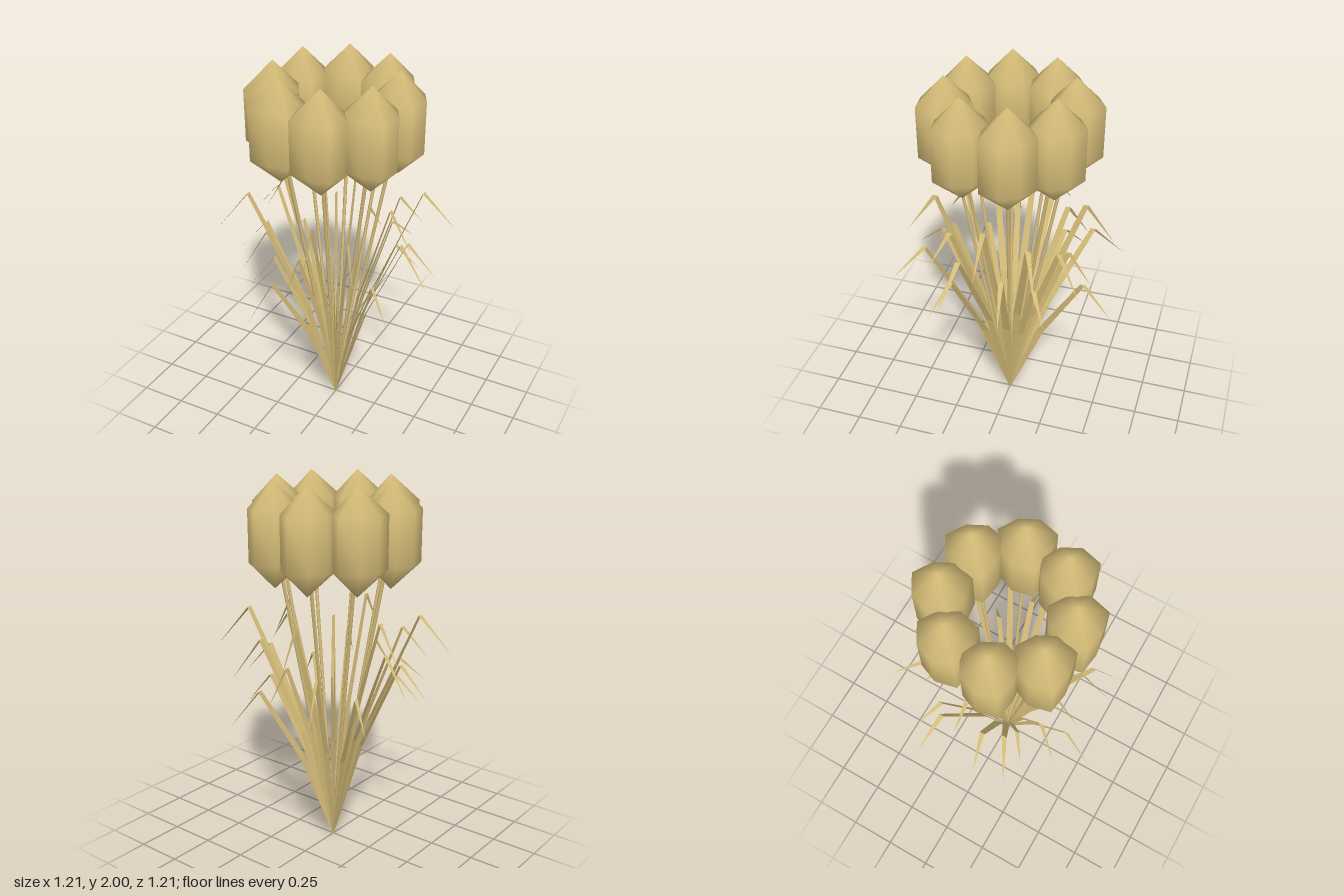
import * as THREE from 'three';
import { mergeVertices } from 'three/addons/utils/BufferGeometryUtils.js';

const material = new THREE.MeshStandardMaterial({ color: 0xd8bf7a });
const bladeMaterial = new THREE.MeshStandardMaterial({ color: 0xd8bf7a, side: THREE.DoubleSide });

// Point on a ring around the y axis, angle in degrees from +x towards +z
function onRing(degrees, radius, y) {
  const a = THREE.MathUtils.degToRad(degrees);
  return new THREE.Vector3(Math.cos(a) * radius, y, Math.sin(a) * radius);
}

// Flower head: eight-sided bud with pointed ends and an uneven outline
function headGeometry() {
  // outline radius every 45 degrees, from +x towards +z
  const outline = [0.137, 0.153, 0.123, 0.151, 0.13, 0.13, 0.146, 0.128];
  let g = new THREE.SphereGeometry(1, 8, 3);
  const p = g.attributes.position;
  for (let i = 0; i < p.count; i++) {
    const x = p.getX(i), z = p.getZ(i);
    const step = (Math.round(Math.atan2(z, x) / (Math.PI / 4)) + 8) % 8;
    const scale = Math.hypot(x, z) < 0.01 ? 0 : outline[step] / Math.hypot(x, z);
    p.setXYZ(i, x * scale, p.getY(i) * 0.27, z * scale);
  }
  g.deleteAttribute('normal');
  g.deleteAttribute('uv');
  g = mergeVertices(g, 1e-4);
  g.computeVertexNormals();
  return g;
}

// Stem: thin rod from the foot to a point
function stem(end) {
  const g = new THREE.CylinderGeometry(0.01, 0.007, end.length(), 6);
  g.translate(0, end.length() / 2, 0);
  const mesh = new THREE.Mesh(g, material);
  mesh.quaternion.setFromUnitVectors(new THREE.Vector3(0, 1, 0), end.clone().normalize());
  mesh.name = 'stem';
  return mesh;
}

// Leaf blade: folded strip whose width always lies along z
function blade(degrees, reach, height) {
  // share of reach, share of height, width
  const sections = [[0, 0, 0.018], [0.31, 0.54, 0.042], [0.715, 1, 0.028], [1, 0.832, 0]];
  const positions = [], index = [];
  sections.forEach(([r, h, width], i) => {
    const c = onRing(degrees, r * reach, h * height);
    positions.push(c.x, c.y, c.z - width / 2, c.x, c.y, c.z + width / 2);
    if (i > 0) {
      const a = 2 * i - 2;
      index.push(a, a + 1, a + 2);
      if (width > 0) index.push(a + 1, a + 3, a + 2);
    }
  });
  let g = new THREE.BufferGeometry();
  g.setAttribute('position', new THREE.Float32BufferAttribute(positions, 3));
  g.setIndex(index);
  g = g.toNonIndexed();
  g.computeVertexNormals();
  const mesh = new THREE.Mesh(g, bladeMaterial);
  mesh.name = 'leafBlade';
  return mesh;
}

export function createModel() {
  const model = new THREE.Group();
  model.name = 'flowerBunch';

  // Eight flowers in a ring
  const bud = headGeometry();
  for (let i = 0; i < 8; i++) {
    const centre = onRing(30.5 + i * 45, 0.315, 1.73);
    const head = new THREE.Mesh(bud, material);
    head.name = 'flowerHead';
    head.position.copy(centre);
    const flower = new THREE.Group();
    flower.name = 'flower';
    flower.add(head, stem(centre));
    model.add(flower);
  }

  // Three rings of eight leaves; heights step down and repeat every half turn
  const heights = [1.31, 1.19, 1.075, 0.96];
  const rings = [[152.5, 0.632], [80, 0.545], [7, 0.462]];
  for (const [start, reach] of rings) {
    const leaves = new THREE.Group();
    leaves.name = 'leafRing';
    for (let i = 0; i < 8; i++) leaves.add(blade(start + i * 45, reach, heights[i % 4]));
    model.add(leaves);
  }
  return model;
}
